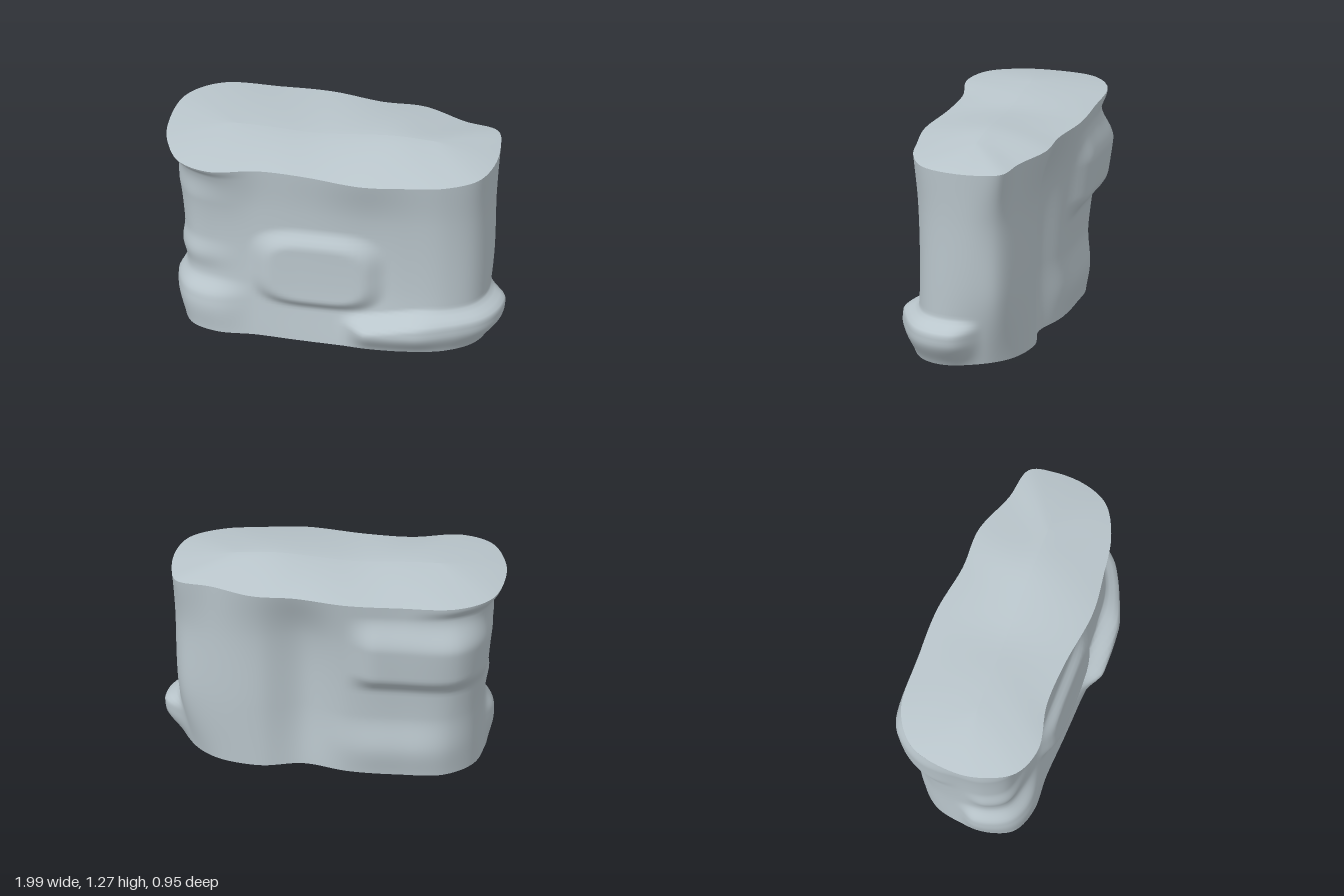
import * as THREE from 'three';

const COLS = 168, ROWS = 64;

// Outlines [x, z] at four heights, running from the right end along the front, left end and back
const baseLine = [[-.87, .02], [-.86, .18], [-.8, .3], [-.65, .36], [-.42, .36], [-.15, .375], [.2, .385], [.45, .375], [.68, .33], [.83, .23],
  [.88, .1], [.83, -.07], [.75, -.18], [.63, -.26], [.4, -.305], [.16, -.26], [-.1, -.32], [-.4, -.33], [-.66, -.31], [-.82, -.18]];
const waistLine = [[-.87, .02], [-.86, .15], [-.8, .25], [-.65, .3], [-.42, .33], [-.15, .335], [.2, .335], [.45, .335], [.68, .31], [.83, .23],
  [.9, .1], [.9, -.08], [.85, -.2], [.7, -.27], [.41, -.31], [.15, -.24], [-.1, -.33], [-.4, -.34], [-.69, -.32], [-.84, -.19]];
const shoulderLine = [[-.92, 0], [-.9, .15], [-.82, .27], [-.65, .32], [-.42, .33], [-.15, .335], [.2, .345], [.45, .345], [.68, .32], [.84, .23],
  [.91, .1], [.92, -.08], [.86, -.2], [.7, -.27], [.42, -.325], [.16, -.275], [-.1, -.38], [-.4, -.4], [-.74, -.38], [-.9, -.25]];
const rimLine = [[-1, 0], [-.97, .18], [-.88, .34], [-.7, .41], [-.42, .36], [-.15, .37], [.2, .415], [.45, .39], [.68, .35], [.86, .25],
  [.93, .1], [.94, -.1], [.9, -.24], [.7, -.29], [.45, -.385], [.2, -.39], [-.1, -.44], [-.4, -.44], [-.75, -.42], [-.94, -.28]];

const step = (a, b, v) => THREE.MathUtils.smoothstep(v, a, b);
// Soft-edged window: 0 outside a..b, 1 inside, with edges e0 and e1 wide
const band = (v, a, b, e0, e1 = e0) => step(a, a + e0, v) * (1 - step(b - e1, b, v));

// Closed smooth ring through an outline, lifted along the back
function ring(outline, y, lift = 0) {
  const curve = new THREE.CatmullRomCurve3(
    outline.map(([x, z]) => new THREE.Vector3(x, y + lift * step(.15, .4, -z), z)), true);
  return Array.from({ length: COLS }, (_, j) => curve.getPoint(j / COLS));
}

// Outward swelling of the wall
function swelling({ x, y, z }) {
  const front = step(0, .15, z), back = step(0, .15, -z);
  // Rounded panel: distance from its centre in a superellipse
  const r = (Math.abs((x + .07) / .37) ** 3.5 + Math.abs((y - .5) / .25) ** 3.5) ** (1 / 3.5);
  const panel = .058 * front * (1 - step(.72, 1.12, r));
  // Foot whose top climbs towards the left end
  const footTop = .22 + .06 * step(.12, .6, x);
  const leftFoot = (.105 - .03 * band(x, .5, .95, .2)) * step(.06, .24, x) * step(-.12, .06, z)
    * step(-.03, .16, y) * (1 - step(footTop - .07, footTop + .01, y));
  const rightFoot = .05 * (1 - step(-.72, -.42, x)) * step(-.04, .1, z) * step(-.05, .2, y) * (1 - step(.24, .36, y));
  const knob = .02 * (1 - step(-.8, -.5, x)) * front * band(y, .38, .62, .12);
  const hump = .072 * band(x, -.97, -.08, .27, .2) * back * band(y, .58, 1.14, .14, .22);
  const heel = .03 * band(x, -.9, .1, .4) * back * band(y, -.04, .4, .22);
  // Hollow under the overhanging right corner of the rim
  const hollow = -.035 * (1 - step(-.85, -.45, x)) * band(y, .9, 1.2, .2, .08);
  return panel + leftFoot + rightFoot + knob + hump + heel + hollow;
}

// Surface over a stack of equal rings
function skin(name, rings, material) {
  const index = [];
  for (let i = 0; i < rings.length - 1; i++) {
    for (let j = 0; j < COLS; j++) {
      const k = (j + 1) % COLS, a = i * COLS + j, b = i * COLS + k;
      index.push(a, b, b + COLS, a, b + COLS, a + COLS);
    }
  }
  const geometry = new THREE.BufferGeometry().setFromPoints(rings.flat());
  geometry.setIndex(index);
  geometry.computeVertexNormals();
  const mesh = new THREE.Mesh(geometry, material);
  mesh.name = name;
  return mesh;
}

export function createModel() {
  const stone = new THREE.MeshStandardMaterial({ color: 0xbac6cc });
  stone.name = 'blue grey stone';
  const group = new THREE.Group();
  group.name = 'stoneBlock';

  // Wall: blend the outlines upwards, then push the swellings outwards
  const levels = [ring(baseLine, 0.005), ring(waistLine, .4), ring(shoulderLine, .9), ring(rimLine, 1.2, .015)];
  const columns = levels[0].map((_, j) => new THREE.CatmullRomCurve3(levels.map(l => l[j])));
  const wall = [];
  for (let i = 0; i <= ROWS; i++) {
    const row = columns.map(c => c.getPoint(i / ROWS));
    wall.push(row.map((p, j) => {
      const t = row[(j + 1) % COLS].clone().sub(row[(j + COLS - 1) % COLS]).setY(0).normalize();
      return p.clone().addScaledVector(new THREE.Vector3(-t.z, 0, t.x), swelling(p));
    }));
  }
  group.add(skin('wall', wall, stone));

  // Top: low uneven roof rising from the rim to a lengthwise ridge
  const rim = wall[ROWS], top = [];
  for (let i = 0; i <= 16; i++) {
    const s = 1 - i / 16, rise = 1 - s ** 1.5;
    top.push(rim.map(p => {
      const x = p.x * (.6 + .4 * s);
      const wave = .02 * Math.exp(-(((x - .35) / .22) ** 2)) - .015 * Math.exp(-(((x + .15) / .2) ** 2));
      return new THREE.Vector3(x, THREE.MathUtils.lerp(p.y, 1.26 + wave, rise), p.z * s);
    }));
  }
  group.add(skin('top', top, stone));

  // Flat underside
  const centre = wall[0].map(p => new THREE.Vector3(0, p.y, 0));
  group.add(skin('underside', [centre, wall[0]], stone));
  return group;
}
